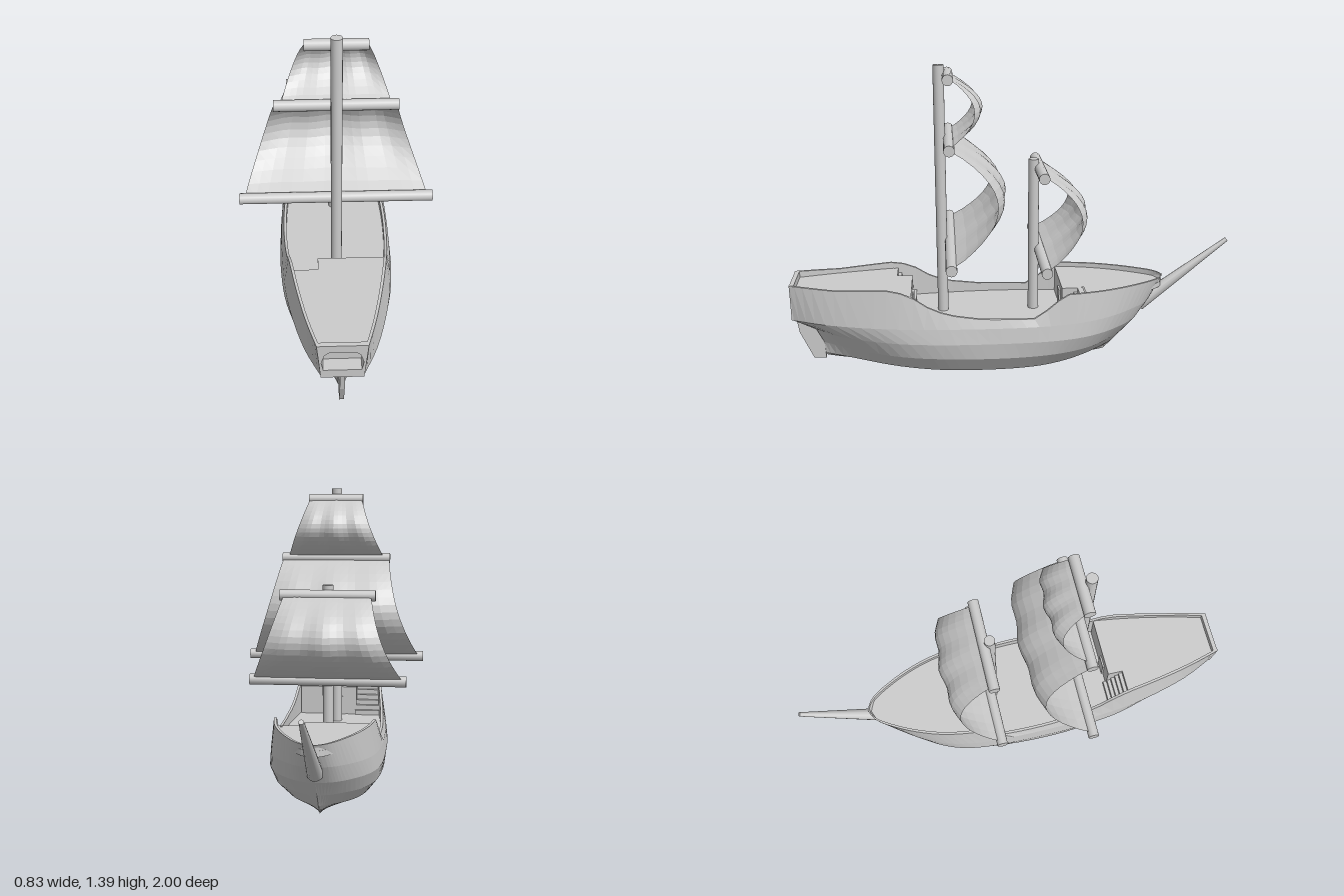
import * as THREE from 'three';

const flat = new THREE.MeshStandardMaterial({ color: 0xcccccc, flatShading: true, side: THREE.DoubleSide });
const smooth = new THREE.MeshStandardMaterial({ color: 0xcccccc, side: THREE.DoubleSide });
const { lerp } = THREE.MathUtils;

// Piecewise linear lookup in [position, value] pairs, positions descending
function lookup(table, p) {
  for (let i = 1; i < table.length; i++) {
    const [a, va] = table[i - 1], [b, vb] = table[i];
    if (p >= b) return lerp(va, vb, THREE.MathUtils.clamp((p - a) / (b - a), 0, 1));
  }
  return table[table.length - 1][1];
}

// Surface of (nu x nv) quads; point(i, j) returns [x, y, z]
function grid(nu, nv, point) {
  const pos = [], index = [];
  for (let j = 0; j <= nv; j++) for (let i = 0; i <= nu; i++) pos.push(...point(i, j));
  for (let j = 0; j < nv; j++) for (let i = 0; i < nu; i++) {
    const a = j * (nu + 1) + i, b = a + nu + 1;
    index.push(a, a + 1, b, b, a + 1, b + 1);
  }
  const g = new THREE.BufferGeometry();
  g.setAttribute('position', new THREE.Float32BufferAttribute(pos, 3));
  g.setIndex(index);
  g.computeVertexNormals();
  return g;
}

// Height of the rail along the ship
const SHEER = [[1, 0.44], [0.8, 0.43], [0.55, 0.44], [0.47, 0.42], [0.38, 0.36], [0.3, 0.33],
  [0.15, 0.31], [-0.08, 0.305], [-0.15, 0.35], [-0.22, 0.41], [-0.72, 0.415]];
const sheer = z => lookup(SHEER, z);

// Hull lines from keel to rail: stern [y, z], midship y, bow [y, z], half widths at stations T
const T = [0, 0.1, 0.25, 0.4, 0.55, 0.7, 0.8, 0.88, 0.95, 0.985, 1];
const LINES = [
  { stern: [0.06, 0.86], mid: 0.003, bow: [0.05, -0.43], w: T.map(() => 0) },
  { stern: [0.075, 0.865], mid: 0.05, bow: [0.1, -0.48], w: [0.01, 0.06, 0.14, 0.185, 0.195, 0.185, 0.155, 0.11, 0.055, 0.02, 0] },
  { stern: [0.13, 0.87], mid: 0.125, bow: [0.16, -0.53], w: [0.015, 0.1, 0.195, 0.235, 0.245, 0.235, 0.21, 0.165, 0.09, 0.04, 0] },
  { stern: [0.2, 0.9], mid: 0.2, bow: [0.23, -0.585], w: [0.03, 0.14, 0.22, 0.25, 0.255, 0.25, 0.23, 0.185, 0.115, 0.06, 0] },
  { stern: [0.27, 0.99], mid: 0.27, bow: [0.31, -0.64], w: [0.085, 0.155, 0.215, 0.24, 0.248, 0.243, 0.222, 0.178, 0.11, 0.06, 0] },
  { stern: [0.44, 1], bow: [0.415, -0.7], w: [0.1, 0.145, 0.195, 0.225, 0.237, 0.225, 0.2, 0.155, 0.095, 0.05, 0] },
];
const N = 44;
const lines = LINES.map(({ stern, mid, bow, w }) => {
  const curve = new THREE.SplineCurve(w.map((v, i) => new THREE.Vector2(T[i], v)));
  return Array.from({ length: N + 1 }, (_, i) => {
    const { x: t, y: half } = curve.getPoint(i / N);
    const z = lerp(stern[1], bow[1], t);
    const y = mid === undefined ? sheer(z)
      : mid + (stern[0] - mid) * Math.max(0, 1 - t / 0.5) ** 2 + (bow[0] - mid) * Math.max(0, (t - 0.55) / 0.45) ** 2.5;
    return [Math.max(half, 0), y, z];
  });
});
const rail = lines[5];
const railTable = rail.map(([x, , z]) => [z, x]);
const inner = z => Math.max(lookup(railTable, z) - 0.01, 0);

// Deck strip that follows the rail, limited to xMin..xMax
function deckStrip(z0, z1, y, xMin = -1, xMax = 1) {
  const n = 24;
  return grid(1, n, (i, j) => {
    const z = lerp(z0, z1, j / n), w = inner(z);
    return [i ? Math.min(w, xMax) : Math.max(-w, xMin), y, z];
  });
}

// Billowing sail between two yards
function sailGeometry({ z, top, bottom, wTop, wBottom, belly, edge, sag }) {
  const nu = 16, nv = 14;
  return grid(nu, nv, (i, j) => {
    const u = i / nu * 2 - 1, v = j / nv;
    const half = lerp(wBottom, wTop, v) - sag * Math.sin(Math.PI * v);
    const depth = lerp(belly, edge, u * u) + 0.007 * Math.cos(u * 9);
    return [u * half, lerp(bottom, top, v), z - depth * Math.sin(Math.PI * v) ** 0.85];
  });
}

export function createModel() {
  const ship = new THREE.Group();
  const add = (name, geometry, material = flat, parent = ship) => {
    const m = new THREE.Mesh(geometry, material);
    m.name = name;
    parent.add(m);
    return m;
  };
  const box = (name, x0, x1, y0, y1, z0, z1, parent = ship) =>
    add(name, new THREE.BoxGeometry(x1 - x0, y1 - y0, Math.abs(z1 - z0)), flat, parent)
      .position.set((x0 + x1) / 2, (y0 + y1) / 2, (z0 + z1) / 2);

  // Hull skin, both sides in one ring, and the closed counter under the transom
  add('hull', grid(10, N, (i, j) => {
    const [x, y, z] = lines[Math.abs(i - 5)][j];
    return [i < 5 ? -x : x, y, z];
  }));
  add('sternCounter', grid(1, 4, (i, j) => {
    const [x, y, z] = lines[j][0];
    return [i ? x : -x, y, z];
  }));

  // Rail cap and inside of the bulwark
  for (const side of [-1, 1]) {
    add('bulwark', grid(2, N, (i, j) => {
      const [x, y, z] = rail[j];
      const low = z < -0.32 || z > 0.6 ? y - 0.05 : 0.26;
      return [side * Math.max(i ? x - 0.012 : x, 0), i === 2 ? low : y, i ? Math.max(z, -0.69) : z];
    }));
  }

  // Transom with recessed window
  const outline = new THREE.Shape([[-0.085, 0.27], [0.085, 0.27], [0.1, 0.44], [-0.1, 0.44]].map(p => new THREE.Vector2(...p)));
  const opening = [[-0.075, 0.31], [-0.083, 0.35], [-0.07, 0.39], [-0.05, 0.405], [0.05, 0.405], [0.07, 0.39], [0.083, 0.35], [0.075, 0.31]];
  outline.holes.push(new THREE.Path(opening.map(p => new THREE.Vector2(...p))));
  add('transom', new THREE.ExtrudeGeometry(outline, { depth: 0.02, bevelEnabled: false })).position.z = 0.979;
  add('windowRecess', grid(8, 1, (i, j) => [...opening[i % 8], j ? 0.94 : 0.98]));
  box('windowBack', -0.085, 0.085, 0.3, 0.409, 0.93, 0.94);

  // Decks, with notches left for the stairs
  add('waistDeck', deckStrip(0.56, -0.33, 0.27));
  add('poopDeck', deckStrip(0.99, 0.55, 0.41));
  add('poopDeckFront', deckStrip(0.55, 0.46, 0.41, -0.08));
  add('foreDeck', deckStrip(-0.32, -0.695, 0.39));
  add('foreDeckFront', deckStrip(-0.22, -0.32, 0.39, -1, 0.08));

  // Bulkheads, door and stairs; the forecastle set is turned half round
  for (const [name, s, z, y] of [['poop', 1, 0.46, 0.409], ['forecastle', -1, -0.22, 0.389]]) {
    const set = new THREE.Group();
    set.name = name + 'Bulkhead';
    set.rotation.y = s > 0 ? 0 : Math.PI;
    const front = s * z, w = inner(z + s * 0.05);
    box('wall', -0.08, w, 0.27, y, front, front + 0.01, set);
    box('stairSideWall', -0.085, -0.075, 0.27, y, front, front + 0.09, set);
    box('stairBackWall', -w, -0.08, 0.27, y, front + 0.085, front + 0.095, set);
    box('door', -0.03, 0.03, 0.27, 0.36, front - 0.008, front, set);
    const steps = 6;
    for (let i = 0; i < steps; i++) {
      box('step', -0.2, -0.08, 0.27, lerp(0.27, y, (i + 1) / steps), front - 0.015 + i * 0.017, front + 0.002 + i * 0.017, set);
    }
    ship.add(set);
  }

  // Masts, yards and sails
  const yard = (y, z, half) => {
    const m = add('yard', new THREE.CylinderGeometry(0.024, 0.024, half * 2, 16).rotateZ(Math.PI / 2), smooth);
    m.position.set(0, y, z);
  };
  const mast = (name, z, top) =>
    add(name, new THREE.CylinderGeometry(0.024, 0.024, top - 0.26, 16), smooth).position.set(0, (top + 0.26) / 2, z);
  mast('mainMast', 0.32, 1.395);
  mast('foreMast', -0.095, 0.975);
  yard(1.345, 0.282, 0.127);
  yard(1.07, 0.282, 0.255);
  yard(0.603, 0.282, 0.417);
  yard(0.932, -0.122, 0.21);
  yard(0.555, -0.122, 0.347);
  add('mainTopSail', sailGeometry({ z: 0.28, top: 1.35, bottom: 1.075, wTop: 0.12, wBottom: 0.225, belly: 0.142, edge: 0.115, sag: 0.005 }));
  add('mainSail', sailGeometry({ z: 0.28, top: 1.07, bottom: 0.605, wTop: 0.25, wBottom: 0.395, belly: 0.243, edge: 0.205, sag: 0.022 }));
  add('foreSail', sailGeometry({ z: -0.125, top: 0.935, bottom: 0.56, wTop: 0.19, wBottom: 0.33, belly: 0.2, edge: 0.165, sag: 0.015 }));

  // Bowsprit
  const from = new THREE.Vector3(0, 0.27, -0.59), to = new THREE.Vector3(0, 0.578, -0.993);
  const sprit = add('bowsprit', new THREE.CylinderGeometry(0.01, 0.034, from.distanceTo(to), 12), smooth);
  sprit.position.copy(from).lerp(to, 0.5);
  sprit.quaternion.setFromUnitVectors(new THREE.Vector3(0, 1, 0), to.clone().sub(from).normalize());

  // Rudder
  const blade = new THREE.Shape([[0.995, 0.27], [0.98, 0.18], [0.92, 0.05], [0.865, 0.05], [0.87, 0.13], [0.92, 0.22], [0.96, 0.27]]
    .map(p => new THREE.Vector2(...p)));
  const rudder = add('rudder', new THREE.ExtrudeGeometry(blade, { depth: 0.02, bevelEnabled: false }));
  rudder.rotation.y = -Math.PI / 2;
  rudder.position.x = 0.01;

  return ship;
}
